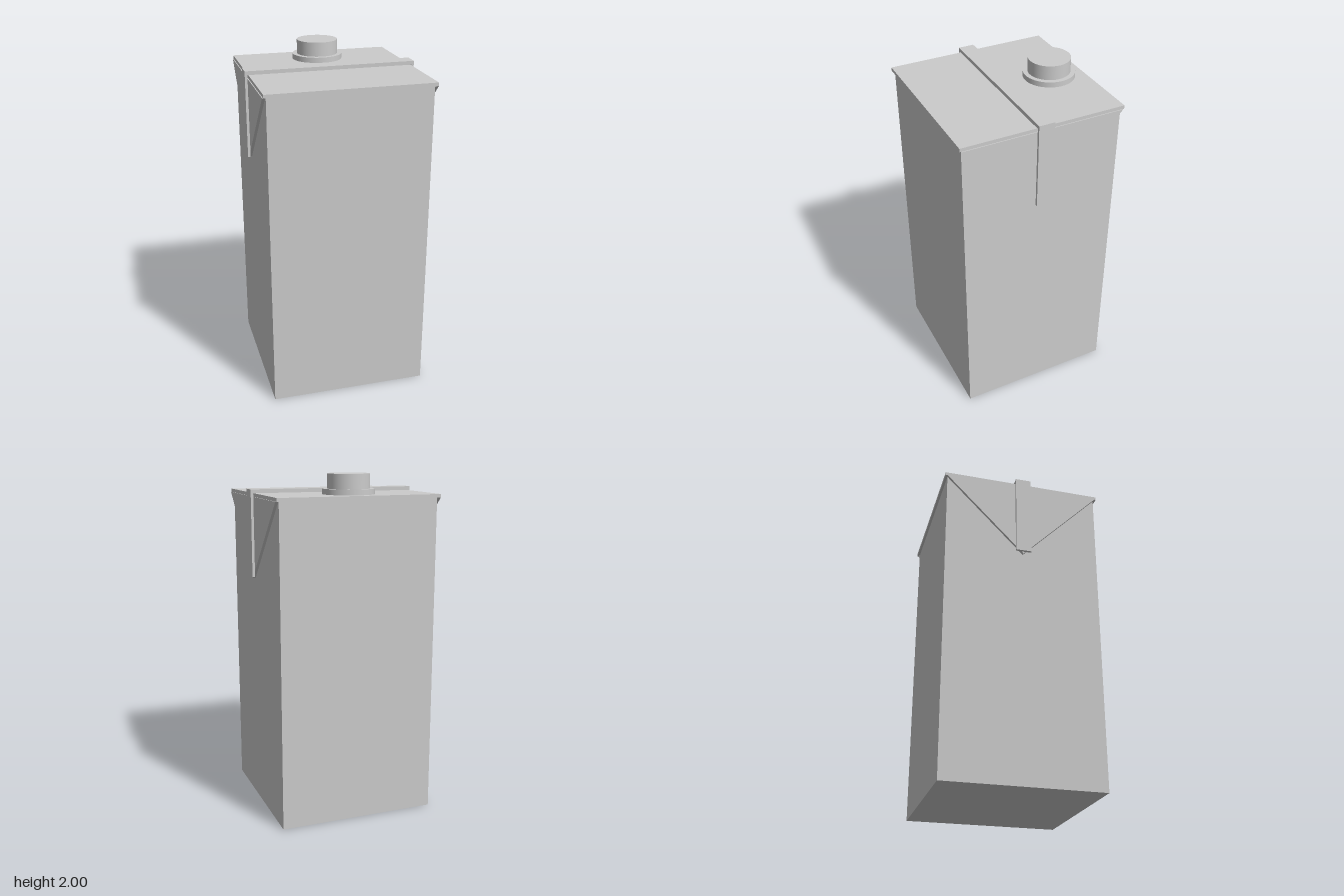
import * as THREE from 'three';

export function createModel() {
  const group = new THREE.Group();
  group.name = 'carton';
  const material = new THREE.MeshStandardMaterial({ color: 0xcccccc, side: THREE.DoubleSide });

  function add(name, geometry, x, y, z) {
    const mesh = new THREE.Mesh(geometry, material);
    mesh.name = name;
    mesh.position.set(x, y, z);
    group.add(mesh);
    return mesh;
  }
  const box = (w, h, d) => new THREE.BoxGeometry(w, h, d);

  // Carton body and the slightly wider top panel
  add('body', box(0.93, 1.866, 0.93), 0, 0.933, 0);
  add('topPanel', box(0.96, 0.02, 0.958), 0, 1.876, 0);

  // Folded triangular ears, drawn in (z, y) and extruded outward along x
  const ear = new THREE.Shape();
  ear.moveTo(-0.47, 1.866);
  ear.lineTo(0, 1.393);
  ear.lineTo(0.47, 1.866);
  ear.closePath();
  const earGeometry = new THREE.ExtrudeGeometry(ear, { depth: 0.016, bevelEnabled: false });
  earGeometry.translate(0, 0, -0.008);
  earGeometry.rotateY(Math.PI / 2);

  // Sealed seam strip running over the top and down both ears
  add('topSeam', box(1, 0.022, 0.092), 0, 1.897, 0);
  for (const [side, label] of [[1, 'left'], [-1, 'right']]) {
    add(label + 'Ear', earGeometry, side * 0.477, 0, 0);
    add(label + 'Seam', box(0.015, 0.482, 0.092), side * 0.4925, 1.647, 0);
  }

  // Screw cap with a wider collar, near the back edge
  add('capCollar', new THREE.CylinderGeometry(0.148, 0.148, 0.054, 48), 0, 1.89, -0.285);
  add('cap', new THREE.CylinderGeometry(0.121, 0.121, 0.1, 48), 0, 1.95, -0.285);

  return group;
}
